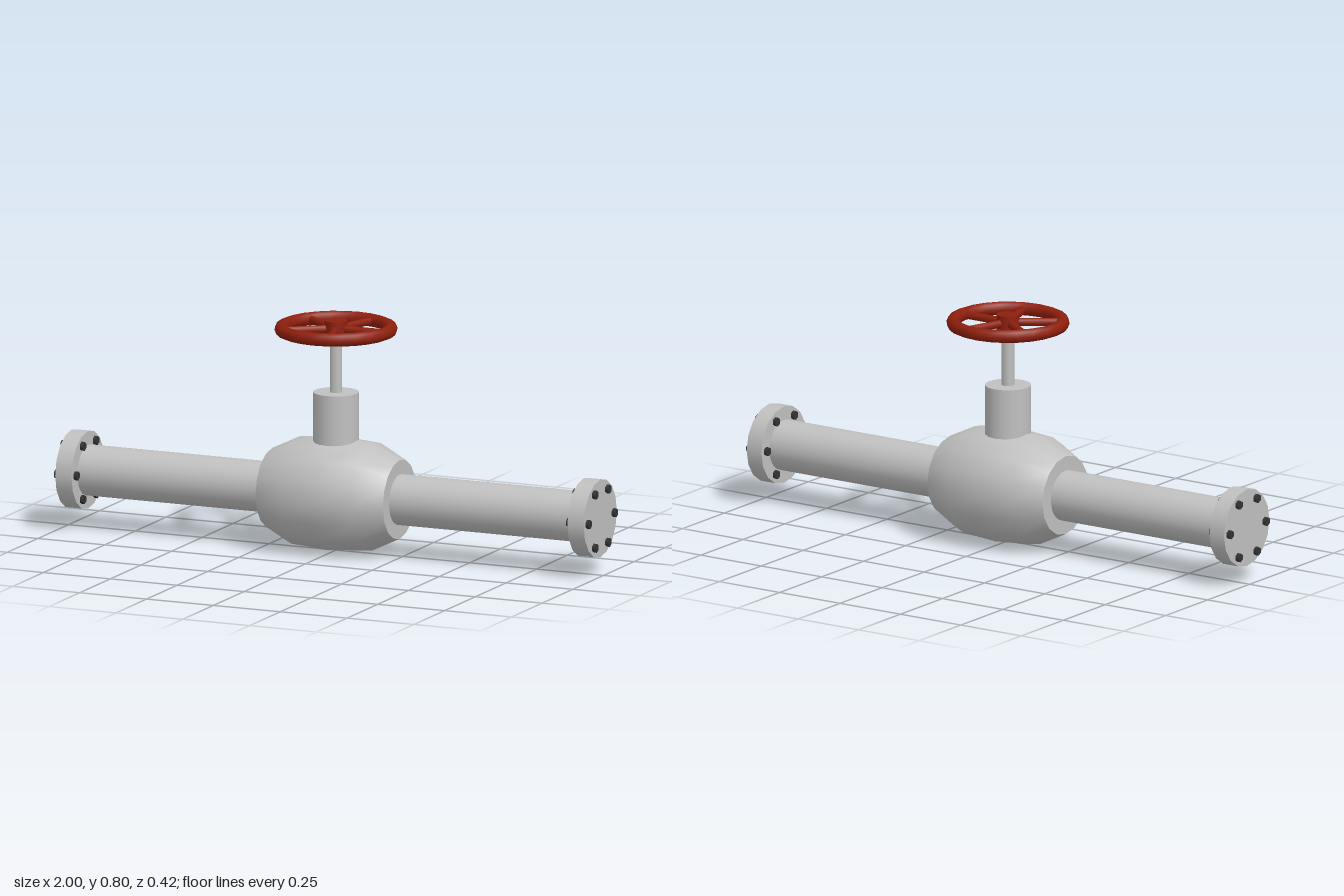
import * as THREE from 'three';

const steel = new THREE.MeshStandardMaterial({ name: 'paleSteel', color: 0xc0c0c0 });
const red = new THREE.MeshStandardMaterial({ name: 'wheelRed', color: 0x8f1f0d });
const dark = new THREE.MeshStandardMaterial({ name: 'darkBolt', color: 0x333333 });

const AXIS_Y = 0.2; // height of the pipe centre line

function add(parent, name, geometry, material, x = 0, y = 0, z = 0) {
  const mesh = new THREE.Mesh(geometry, material);
  mesh.name = name;
  mesh.position.set(x, y, z);
  parent.add(mesh);
  return mesh;
}

// Upright cylinder spanning y0..y1
function post(parent, name, r, y0, y1, sides, material) {
  const g = new THREE.CylinderGeometry(r, r, y1 - y0, sides);
  return add(parent, name, g, material, 0, (y0 + y1) / 2, 0);
}

// Cylinder lying along x, spanning x0..x1
function lying(parent, name, r, x0, x1, sides, material, y = 0, z = 0, twist = 0) {
  const g = new THREE.CylinderGeometry(r, r, x1 - x0, sides).rotateY(twist).rotateZ(Math.PI / 2);
  return add(parent, name, g, material, (x0 + x1) / 2, y, z);
}

// Pipe run with bolted end flange, built towards +x
function pipeRun(name) {
  const run = new THREE.Group();
  run.name = name;
  run.position.y = AXIS_Y;
  lying(run, 'pipe', 0.087, 0.2, 0.95, 24, steel);
  lying(run, 'flange', 0.135, 0.927, 0.988, 16, steel);
  for (let i = 0; i < 6; i++) {
    const a = (i * Math.PI) / 3;
    lying(run, 'flangeBolt', 0.0155, 0.915, 1, 6, dark,
      0.107 * Math.sin(a), 0.107 * Math.cos(a), Math.PI / 2);
  }
  return run;
}

function valveBody() {
  const body = new THREE.Group();
  body.name = 'valveBody';
  body.position.y = AXIS_Y;
  // Faceted barrel turned around the pipe axis
  const profile = [[0.137, -0.238], [0.187, -0.135], [0.197, 0], [0.187, 0.135], [0.137, 0.238]]
    .map(([r, h]) => new THREE.Vector2(r, h));
  add(body, 'barrel', new THREE.LatheGeometry(profile, 16).rotateZ(Math.PI / 2), steel);
  // Flat ends
  for (const s of [-1, 1]) {
    const cap = new THREE.CircleGeometry(0.137, 16).rotateY((s * Math.PI) / 2);
    add(body, 'barrelEnd', cap, steel, s * 0.238, 0, 0);
  }
  return body;
}

function handWheel() {
  const wheel = new THREE.Group();
  wheel.name = 'handWheel';
  wheel.position.y = 0.772;
  const rim = new THREE.TorusGeometry(0.187, 0.023, 8, 24).rotateX(Math.PI / 2);
  add(wheel, 'rim', rim, red);
  post(wheel, 'hub', 0.039, -0.03, 0.029, 12, red);
  for (let i = 0; i < 5; i++) {
    const spoke = lying(wheel, 'spoke', 0.014, 0, 0.186, 8, red);
    spoke.geometry.translate(0.093, 0, 0);
    spoke.position.x = 0;
    spoke.rotation.y = (i * Math.PI * 2) / 5;
  }
  return wheel;
}

export function createModel() {
  const model = new THREE.Group();
  model.name = 'pipeValve';
  model.add(valveBody());
  const left = pipeRun('leftPipe');
  const right = pipeRun('rightPipe');
  right.rotation.y = Math.PI;
  model.add(left, right);
  // Bonnet and stem above the body
  post(model, 'bonnet', 0.079, 0.33, 0.553, 16, steel);
  post(model, 'stem', 0.0225, 0.54, 0.76, 8, steel);
  model.add(handWheel());
  return model;
}
